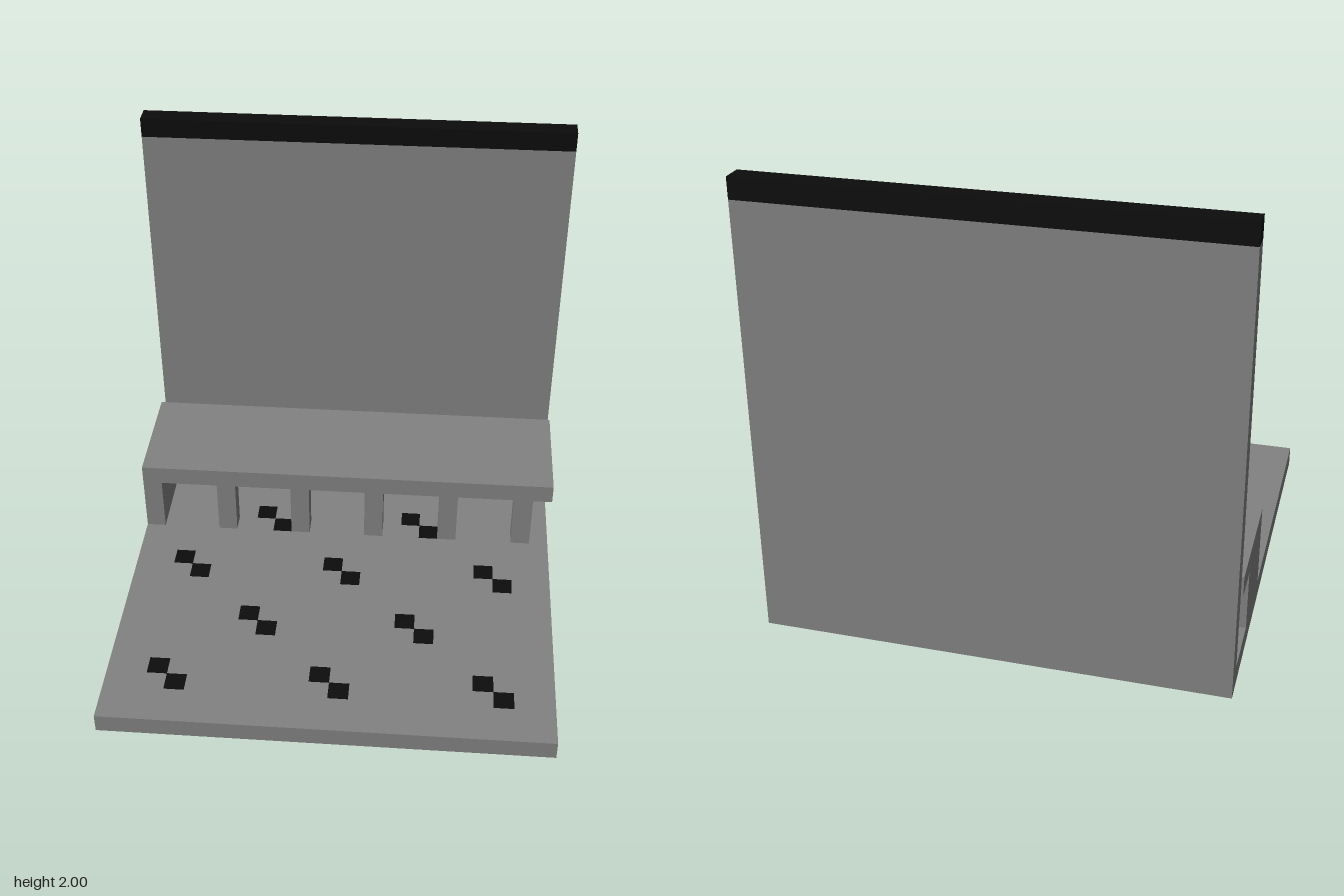
import * as THREE from 'three';

// The model sits on a 22 x 22 x 22 block grid
const U = 2 / 22;
const stone = new THREE.MeshStandardMaterial({ color: 0x828282 });
stone.name = 'grey stone';
const dark = new THREE.MeshStandardMaterial({ color: 0x0c0c0c });
dark.name = 'black trim';

// Box from a block position and a size in blocks
function block(name, material, [x, y, z], [w, h, d]) {
  const mesh = new THREE.Mesh(new THREE.BoxGeometry(w * U, h * U, d * U), material);
  mesh.position.set((x + w / 2) * U - 1, (y + h / 2) * U, (z + d / 2) * U - 1);
  mesh.name = name;
  return mesh;
}

export function createModel() {
  const model = new THREE.Group();
  model.name = 'benchByWall';
  const lip = 0.02; // how far the tiles stand proud, in blocks

  // Floor and back wall
  model.add(
    block('floor', stone, [0, lip, 0], [22, 1 - lip, 22]),
    block('wall', stone, [0, 1, 0], [22, 20, 1]),
    block('wallCap', dark, [0, 21, 0], [22, 1, 1]),
  );

  // Diagonal pairs of dark tiles, staggered row by row, through the floor
  const tiles = new THREE.Group();
  tiles.name = 'floorTiles';
  for (let row = 0; row < 5; row++) {
    const z = 2 + row * 4;
    for (let x = row % 2 ? 6 : 2; x < 20; x += 8) {
      for (const k of [0, 1]) {
        tiles.add(block('floorTile', dark, [x + k, 0, z + k], [1, 1 + lip, 1]));
      }
    }
  }
  model.add(tiles);

  // Bench: slab, end panel and pairs of legs
  const bench = new THREE.Group();
  bench.name = 'bench';
  bench.add(
    block('benchTop', stone, [0, 4, 2], [22, 1, 6]),
    block('endPanel', stone, [0, 1, 4], [1, 3, 4]),
  );
  for (let x = 4; x <= 20; x += 4) {
    bench.add(
      block('frontLeg', stone, [x, 1, 7], [1, 3, 1]),
      block('backLeg', stone, [x, 1, 2], [1, 3, 1]),
    );
  }
  model.add(bench);
  return model;
}
